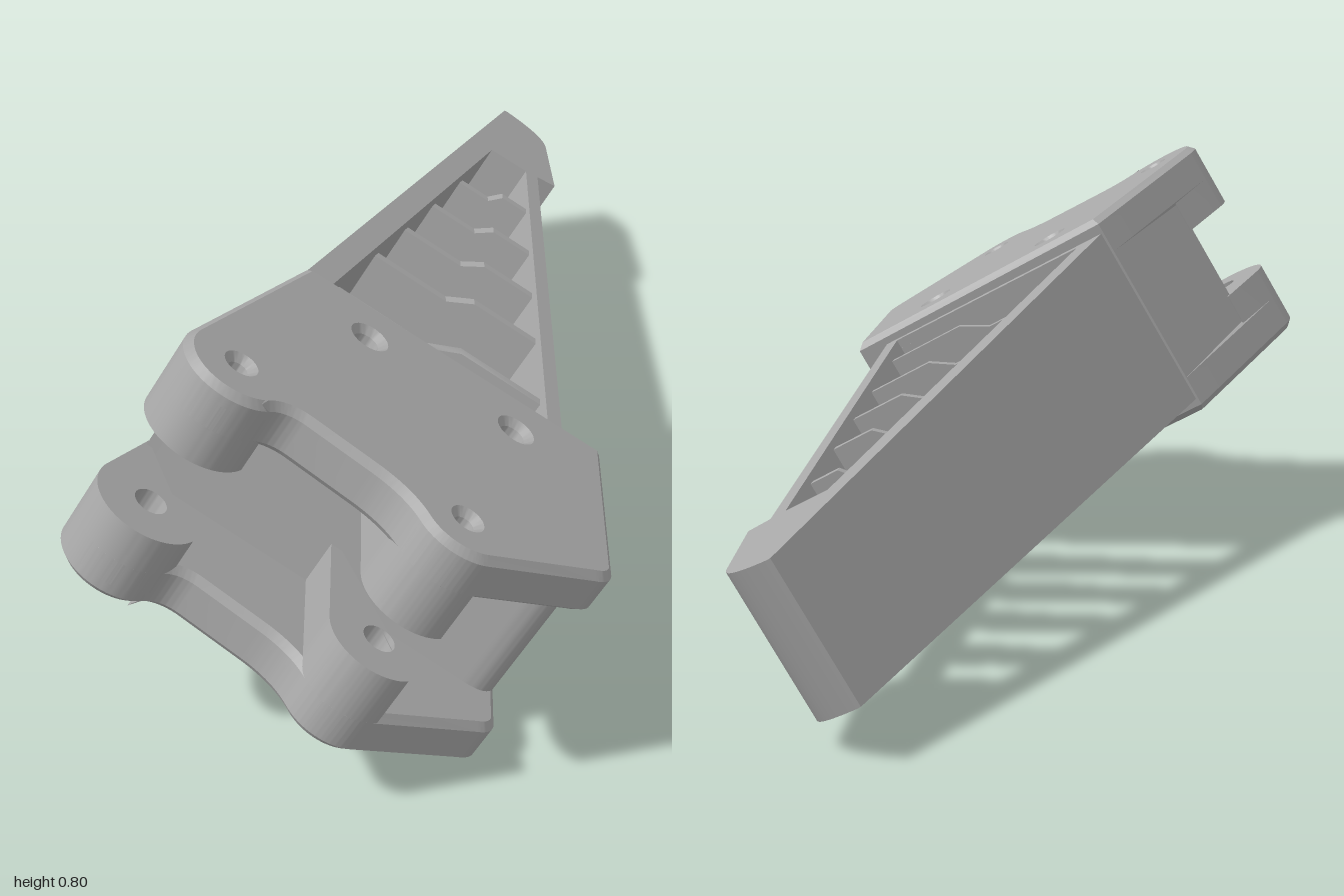
import * as THREE from 'three';
import { toCreasedNormals } from 'three/addons/utils/BufferGeometryUtils.js';

const rad = THREE.MathUtils.degToRad;
const LUG1 = [-0.323, 0.77, 0.1], LUG2 = [0.098, 0.905, 0.095];

// Handle rules: half depth, spine outer line and grip outer line along z
const halfDepth = z => 0.14 + 0.065 * (z + 1) / 1.45;
const spineU = z => -0.2 + (0.33 - z) * 0.4173;
const gripU = z => 0.335 + (0.48 - z) * 0.0636;

const poly = pts => new THREE.Shape(pts.map(p => new THREE.Vector2(p[0], p[1])));

function addHole(shape, u, z, r) {
  const hole = new THREE.Path();
  hole.absarc(u, z, r, 0, Math.PI * 2, true);
  shape.holes.push(hole);
}

// Extrude a plan outline (u, z) between two heights v0 < v1
function slab(shape, v0, v1, bevel = 0) {
  const g = new THREE.ExtrudeGeometry(shape, {
    depth: v1 - v0 - 2 * bevel, curveSegments: 20, bevelEnabled: bevel > 0,
    bevelThickness: bevel, bevelSize: bevel, bevelOffset: -bevel, bevelSegments: 1
  });
  g.rotateX(Math.PI / 2);
  g.translate(0, v1 - bevel, 0);
  return g;
}

function finish(g) {
  g.computeVertexNormals();
  return toCreasedNormals(g, 0.5);
}

// Outer cheek plate with two rounded lugs
function plateShape() {
  const s = new THREE.Shape();
  s.moveTo(-0.202, 0.345);
  s.lineTo(0.403, 0.485);
  s.lineTo(0.388, 0.85);
  s.quadraticCurveTo(0.385, 0.875, 0.352, 0.888);
  s.absarc(...LUG2, rad(65), rad(150), false);
  s.quadraticCurveTo(-0.012, 0.905, -0.075, 0.882);
  s.lineTo(-0.195, 0.838);
  s.quadraticCurveTo(-0.235, 0.825, -0.266, 0.852);
  s.absarc(...LUG1, rad(55), rad(207), false);
  s.closePath();
  addHole(s, LUG1[0], LUG1[1], 0.018);
  addHole(s, LUG2[0], LUG2[1], 0.018);
  addHole(s, -0.08, 0.49, 0.024);
  addHole(s, 0.214, 0.56, 0.024);
  return s;
}

// Thick hinge pads on the inside of each cheek plate
function rearPadShape() {
  const s = new THREE.Shape();
  s.moveTo(-0.2, 0.63);
  s.absarc(...LUG1, rad(34), rad(207), false);
  s.lineTo(-0.34, 0.6);
  s.closePath();
  addHole(s, LUG1[0], LUG1[1], 0.03);
  return s;
}

function frontPadShape() {
  const s = new THREE.Shape();
  s.moveTo(0.19, 0.72);
  s.absarc(...LUG2, rad(55), rad(180), false);
  s.lineTo(0.006, 0.67);
  s.closePath();
  addHole(s, LUG2[0], LUG2[1], 0.03);
  return s;
}

// Solid core between the cheek plates
function coreShape() {
  const s = new THREE.Shape();
  s.moveTo(-0.202, 0.345);
  s.lineTo(0.403, 0.485);
  s.lineTo(0.392, 0.73);
  s.quadraticCurveTo(0.39, 0.81, 0.31, 0.782);
  s.lineTo(-0.343, 0.614);
  s.closePath();
  addHole(s, -0.08, 0.49, 0.024);
  addHole(s, 0.214, 0.56, 0.024);
  return s;
}

// Tapered open handle with a hooked tip
function handleGeometry() {
  const s = new THREE.Shape();
  s.moveTo(spineU(0.328), 0.328);
  s.lineTo(gripU(0.455), 0.455);
  s.lineTo(gripU(-0.7), -0.7);
  s.lineTo(0.455, -0.7);
  s.lineTo(0.455, -0.91);
  s.quadraticCurveTo(0.45, -0.965, 0.36, -1);
  s.lineTo(0.353, -1);
  s.closePath();
  s.holes.push(new THREE.Path([
    [spineU(0.32) + 0.055, 0.32], [spineU(-0.72) + 0.055, -0.72],
    [gripU(-0.7) - 0.03, -0.7], [gripU(0.43) - 0.03, 0.43]
  ].map(p => new THREE.Vector2(p[0], p[1]))));
  const g = slab(s, -1, 1);
  const p = g.attributes.position;
  for (let i = 0; i < p.count; i++) p.setY(i, p.getY(i) * halfDepth(p.getZ(i)));
  return finish(g);
}

// Slanted cross rib, deeper on the grip side
function ribGeometry(z) {
  const slope = 0.25, thick = 0.02, h = halfDepth(z);
  const a = spineU(z) + 0.045, b = gripU(z) - 0.02, w = b - a;
  const top = [[a, 0.78 * h], [a + 0.45 * w, 0.78 * h], [a + 0.58 * w, 0.93 * h], [b, 0.93 * h]];
  const bottom = top.map(([u, v]) => [u, -v]).reverse();
  const g = new THREE.ExtrudeGeometry(poly([...top, ...bottom]), { depth: thick, bevelEnabled: false });
  const p = g.attributes.position;
  for (let i = 0; i < p.count; i++) {
    p.setZ(i, p.getZ(i) - thick / 2 + z + slope * (p.getX(i) - a));
  }
  return finish(g);
}

export function createModel() {
  const grey = new THREE.MeshStandardMaterial({ color: 0xa6a6a6 });
  grey.name = 'plain grey';
  const body = new THREE.Group();
  body.name = 'body';
  const add = (name, geometry) => {
    const mesh = new THREE.Mesh(geometry, grey);
    mesh.name = name;
    body.add(mesh);
  };

  // Head
  add('headCore', finish(slab(coreShape(), -0.21, 0.21)));
  for (const [side, k] of [['upper', 1], ['lower', -1]]) {
    const span = (a, b) => k > 0 ? [a, b] : [-b, -a];
    add(side + 'CheekPlate', finish(slab(plateShape(), ...span(0.14, 0.231), 0.013)));
    add(side + 'RearHingePad', finish(slab(rearPadShape(), ...span(0.083, 0.2))));
    add(side + 'FrontHingePad', finish(slab(frontPadShape(), ...span(0.051, 0.2))));
  }

  // Neck joining the handle to the head
  add('neck', finish(slab(poly([[-0.17, 0.315], [0.31, 0.43], [0.31, 0.5], [-0.17, 0.39]]), -0.185, 0.185)));

  // Handle and its ribs
  add('handleFrame', handleGeometry());
  [0.22, 0.0, -0.18, -0.36, -0.55].forEach((z, i) => add('handleRib' + (i + 1), ribGeometry(z)));

  // The whole piece leans over by thirty degrees
  body.rotation.z = -Math.PI / 6;
  body.position.y = 0.405;
  const model = new THREE.Group();
  model.name = 'hingedHandle';
  model.add(body);
  return model;
}
